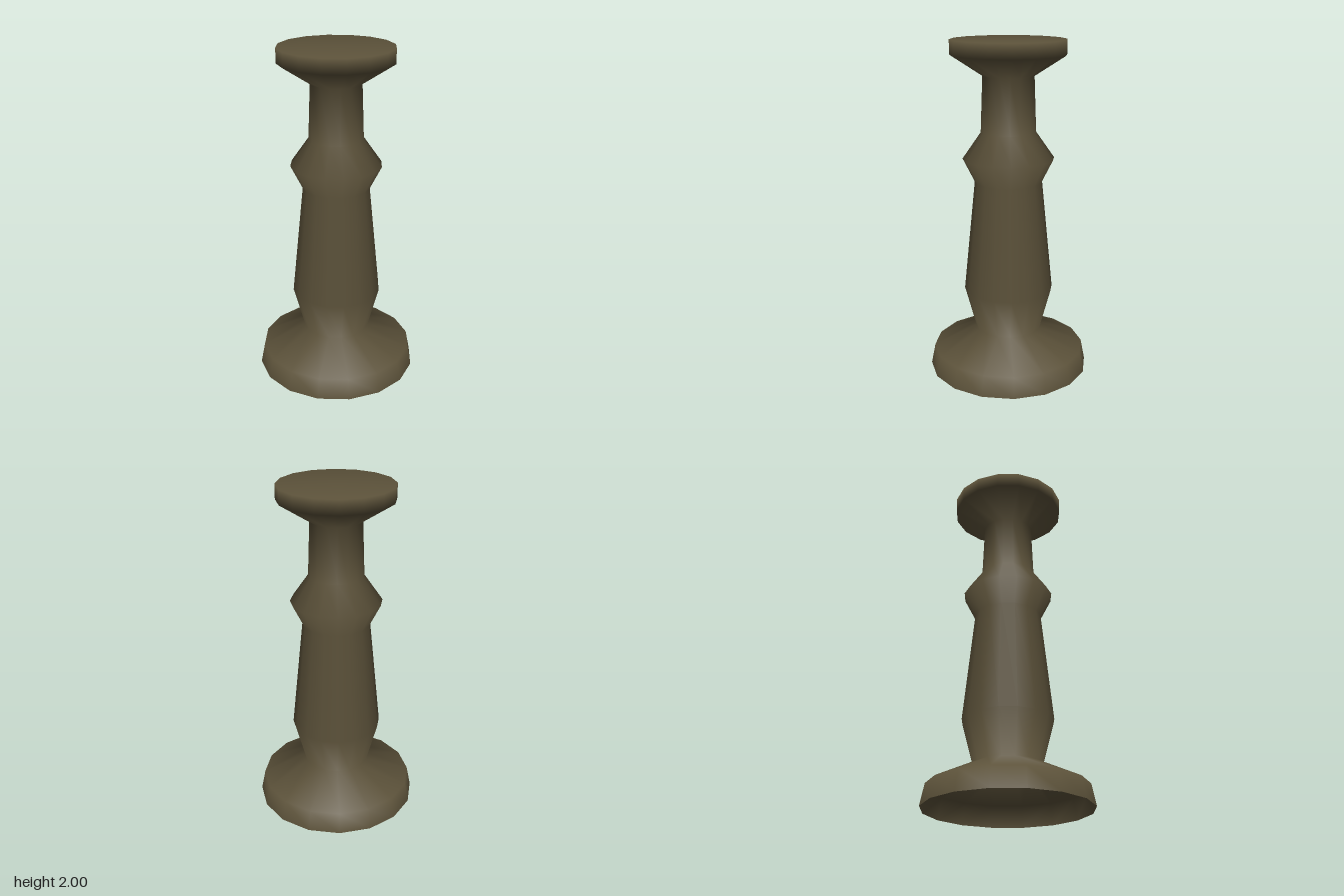
import * as THREE from 'three';

// A turned pedestal: one smooth 16-sided shell, hollow and open underneath.
export function createModel() {
  const group = new THREE.Group();
  group.name = 'turnedPedestal';

  const darkWood = new THREE.MeshStandardMaterial({ color: 0x5c523a, side: THREE.DoubleSide });
  darkWood.name = 'darkOliveWood';

  // Radius and height, from the open foot up to the centre of the top
  const profile = [
    [0.485, 0], [0.46, 0.125],    // foot
    [0.2, 0.25], [0.268, 0.505],  // lower shaft swell
    [0.2, 1.175],                 // shaft taper
    [0.27, 1.315], [0.162, 1.47], // collar
    [0.15, 1.795],                // neck
    [0.336, 1.915], [0.336, 2],   // head
    [0, 2],                       // flat top
  ].map(([r, y]) => new THREE.Vector2(r, y));

  const pedestal = new THREE.Mesh(new THREE.LatheGeometry(profile, 16), darkWood);
  pedestal.name = 'pedestal';
  group.add(pedestal);
  return group;
}
